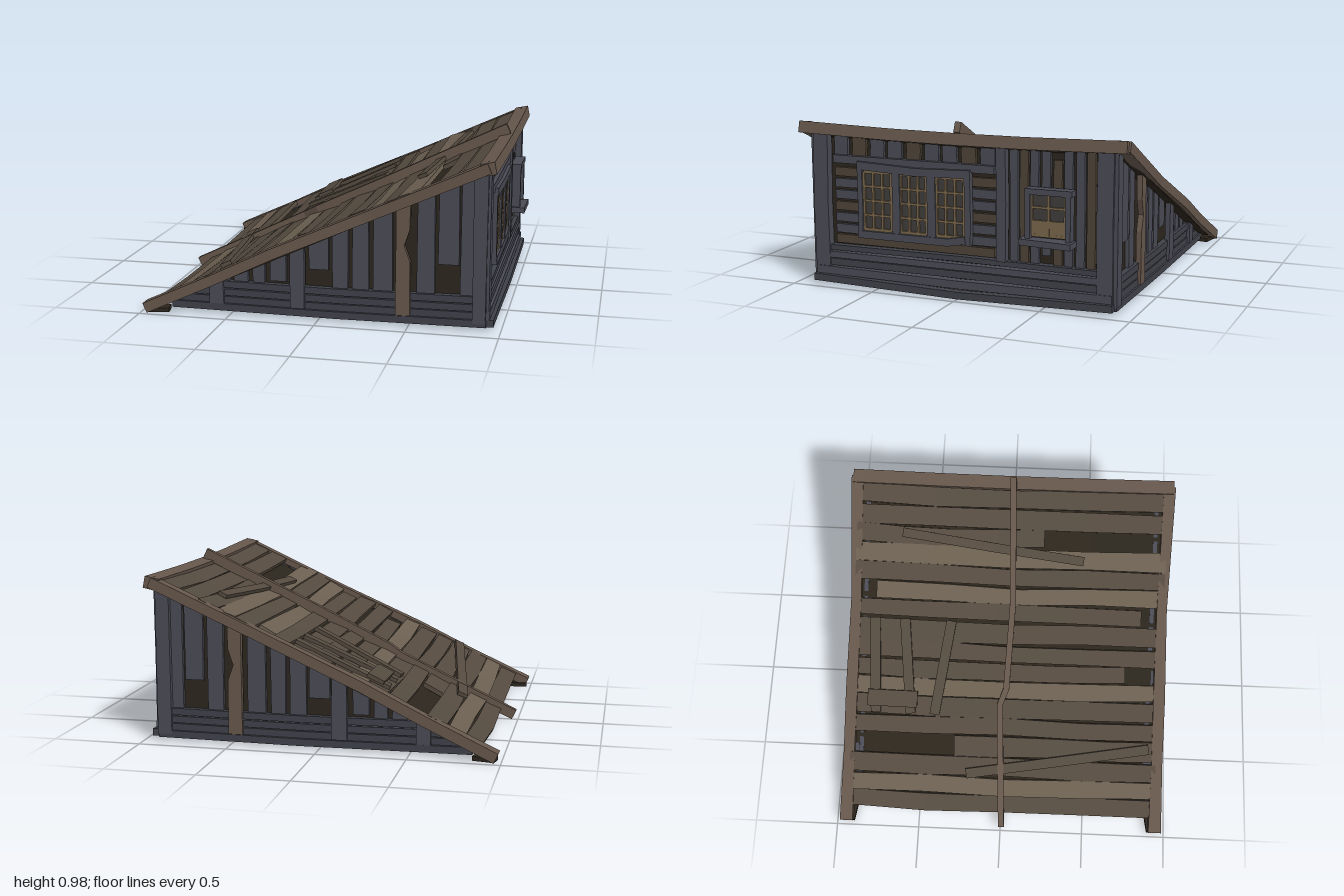
import * as THREE from 'three';

const C = { beam: 0x65564b, roof: 0x544a3f, light: 0x6b5f50, dark: 0x2b251c, floor: 0x63544a, grey: 0x494a54, slate: 0x3f4149, brown: 0x4e4437, sash: 0x77654a, glass: 0x403d3c };
const N = [-0.419, 0.908, 0]; // roof normal
const roofY = (x) => 0.51 + 0.462 * x;
const sag = (z) => -0.022 * (1 - (z / 0.95) ** 2);

let seed = 7;
const rnd = (a, b) => {
  seed = (seed * 16807) % 2147483647;
  return a + (b - a) * (seed / 2147483647);
};

const mats = {};
const mat = (c) => (mats[c] ??= new THREE.MeshStandardMaterial({ color: c, flatShading: true }));

function add(parent, name, geo, color) {
  const m = new THREE.Mesh(geo, mat(color));
  m.name = name;
  parent.add(m);
  return m;
}

// Outline in x and y, extruded and centred on z
function slab(parent, name, color, outline, z, depth) {
  const s = new THREE.Shape(outline.map((a) => new THREE.Vector2(...a)));
  const g = new THREE.ExtrudeGeometry(s, { depth, bevelEnabled: false });
  add(parent, name, g.translate(0, 0, z - depth / 2), color);
}

// Rectangular timber swept along points; width may vary per point, n is the face normal
function timber(parent, name, color, points, n, width, thick) {
  const p = points.map((a) => new THREE.Vector3(...a));
  const rings = p.map((c, i) => {
    const t = p[Math.min(i + 1, p.length - 1)].clone().sub(p[Math.max(i - 1, 0)]).normalize();
    const up = new THREE.Vector3(...n);
    up.addScaledVector(t, -up.dot(t)).normalize();
    const s = t.clone().cross(up);
    const w = (Array.isArray(width) ? width[i] : width) / 2;
    return [[1, 1], [-1, 1], [-1, -1], [1, -1]].map(([a, b]) =>
      c.clone().addScaledVector(s, a * w).addScaledVector(up, (b * thick) / 2));
  });
  const pos = [];
  const quad = (a, b, c, d) => [a, b, c, a, c, d].forEach((v) => pos.push(v.x, v.y, v.z));
  for (let i = 0; i < rings.length - 1; i++)
    for (let k = 0; k < 4; k++) {
      const j = (k + 1) % 4;
      quad(rings[i][k], rings[i + 1][k], rings[i + 1][j], rings[i][j]);
    }
  const e = rings[rings.length - 1];
  quad(...rings[0]);
  quad(e[3], e[2], e[1], e[0]);
  const g = new THREE.BufferGeometry();
  g.setAttribute('position', new THREE.Float32BufferAttribute(pos, 3));
  g.computeVertexNormals();
  return add(parent, name, g, color);
}

function group(parent, name) {
  const g = new THREE.Group();
  g.name = name;
  parent.add(g);
  return g;
}

function buildCore(root) {
  // Dark body seen through the gaps between planks
  slab(root, 'darkInterior', C.dark, [[-0.83, 0.035], [0.88, 0.035], [0.88, 0.84], [-0.83, 0.05]], 0, 1.71);
  add(root, 'floor', new THREE.BoxGeometry(1.64, 0.01, 1.66), C.floor).position.set(0.04, 0.031, 0);
}

function buildRoof(root) {
  const roof = group(root, 'roof');
  const at = (x, z, lift) => [x + N[0] * lift, roofY(x) + sag(z) + N[1] * lift, z];
  // Dark sheet under the planks
  timber(roof, 'underRoof', C.dark, [-0.93, -0.5, 0, 0.5, 0.93].map((z) => at(0, z, -0.05)), N, 1.97, 0.02);
  // Plank edges across the slope, with shortened planks leaving holes
  const edges = [-0.91, -0.81, -0.71, -0.6, -0.48, -0.38, -0.27, -0.17, -0.07, 0.03, 0.15, 0.25, 0.35, 0.45, 0.56, 0.66, 0.77, 0.88];
  const spans = { 3: [-0.3, 0.93], 7: [-0.93, 0.72], 10: [-0.93, 0.8], 11: [-0.8, 0.93], 14: [-0.93, 0.2] };
  const lights = [1, 6, 11, 13];
  for (let i = 0; i < edges.length - 1; i++) {
    const [z0, z1] = spans[i] ?? [-0.93, 0.93];
    const x = (edges[i] + edges[i + 1]) / 2, w = (edges[i + 1] - edges[i]) * 1.1;
    const pts = [], widths = [], lift = rnd(-0.022, -0.012);
    for (let k = 0; k <= 4; k++) {
      const z = z0 + ((z1 - z0) * k) / 4;
      pts.push(at(x + rnd(-0.008, 0.008), z, lift));
      widths.push(w * rnd(0.86, 1));
    }
    timber(roof, 'roofPlank', lights.includes(i) ? C.light : C.roof, pts, [N[0] + rnd(-0.1, 0.1), N[1], 0], widths, 0.026);
  }
  // Sloping edge boards at both gables
  const path = [[-0.985, 0.942, 0], [-0.6, 0.936, 0], [-0.26, 0.93, 0.01], [0.25, 0.92, 0], [0.92, 0.935, -0.006]];
  for (const s of [1, -1]) {
    timber(roof, 'gableBoard', C.beam, path.map(([x, z, d]) => [x + 0.01, roofY(x) - 0.028 + d, s * z]), N, [0.078, 0.065, 0.07, 0.06, 0.07], 0.058);
    timber(roof, 'gableFoot', C.dark, [[-0.97, 0.012, s * 0.93], [-0.85, 0.013, s * 0.91]], [0, 1, 0], 0.07, 0.024);
  }
  // Beam along the high edge
  const ridge = [-0.96, -0.9, -0.4, 0, 0.4, 0.9, 0.96];
  timber(roof, 'ridgeBeam', C.beam, ridge.map((z) => [0.922, 0.894 + sag(z) * 0.7, z]), [-0.2, 1, 0], 0.08, 0.066);
  // Crooked beam down the middle of the roof
  const middle = [[-0.98, 0.005, -0.006], [-0.3, -0.03, 0.004], [-0.21, 0.005, 0.012], [0.25, 0.025, 0.018], [0.94, 0, 0.028]];
  timber(roof, 'middleBeam', C.beam, middle.map((a) => at(...a)), N, 0.036, 0.06);
  // Loose patch boards: x0, z0, x1, z1, width, lift
  const patches = [
    [-0.69, -0.22, -0.52, 0.88, 0.06, 0.015], [0.62, -0.65, 0.5, 0.44, 0.055, 0.012],
    [-0.37, -0.78, 0.15, -0.8, 0.06, 0.01], [-0.37, -0.57, 0.15, -0.62, 0.06, 0.01],
    [-0.37, -0.425, 0.15, -0.34, 0.06, 0.01], [-0.29, -0.83, -0.29, -0.53, 0.1, 0.024],
  ];
  for (const [a, b, c, d, w, l] of patches)
    timber(roof, 'patchBoard', C.roof, [at(a, b, l), at((a + c) / 2, (b + d) / 2, l), at(c, d, l)], N, w, 0.022);
}

function buildGable(root, s) {
  const wall = group(root, s > 0 ? 'frontWall' : 'backWall');
  const n = [0, 0, s];
  // Upright board whose top follows the slope
  const upright = (name, x0, x1, y0, z, thick) => {
    const j = rnd(0, 0.008);
    slab(wall, name, C.grey, [[x0 + j, y0], [x1 - j, y0], [x1 - 0.004, roofY(x1) - 0.045], [x0 + 0.004, roofY(x0) - 0.045]], s * z, thick);
  };
  // Upright planks: left edge, right edge, bottom
  const planks = [
    [-0.6, -0.5, 0.15], [-0.485, -0.4, 0.17], [-0.38, -0.3, 0.17], [-0.28, -0.18, 0.2], [-0.06, 0.06, 0.28], [0.07, 0.17, 0.17],
    [0.185, 0.28, 0.17], [0.3, 0.41, 0.17], [0.54, 0.64, 0.17], [0.655, 0.77, 0.35], [0.775, 0.85, 0.17],
  ];
  for (const [a, b, y] of planks) upright('wallPlank', a, b, y, 0.865, 0.024);
  upright('post', -0.62, -0.535, 0.06, 0.893, 0.03);
  upright('post', -0.16, -0.07, 0.06, 0.893, 0.03);
  upright('cornerPost', 0.84, 0.925, 0.04, 0.88, 0.05);
  // Brown post worn to a notch
  const worn = [[0.47, 0.06], [0.47, 0.36], [0.455, 0.45], [0.47, 0.54], [0.47, 0.68]];
  timber(wall, 'wornPost', C.beam, worn.map(([x, y]) => [x, y, s * 0.893]), n, [0.08, 0.078, 0.045, 0.075, 0.08], 0.03);
  // Base rails cut off by the slope
  for (const [y0, y1, z] of [[0.02, 0.06, 0.885], [0.062, 0.1, 0.875], [0.104, 0.142, 0.872], [0.15, 0.188, 0.878]]) {
    const x0 = Math.max(-0.84, (y1 - 0.475) / 0.462), y = (y0 + y1) / 2;
    timber(wall, 'baseRail', C.slate, [[x0, y, s * z], [0.1, y - 0.006, s * z], [0.92, y, s * z]], n, y1 - y0, 0.035);
  }
}

// Window sash facing +x with a grid of bars
function sash(parent, z0, z1, y0, y1, x, cols, rows) {
  const g = group(parent, 'windowSash'), w = z1 - z0, h = y1 - y0;
  add(g, 'glass', new THREE.BoxGeometry(0.012, h, w), C.glass).position.set(x - 0.01, (y0 + y1) / 2, (z0 + z1) / 2);
  for (let i = 0; i <= cols; i++) {
    const t = i % cols ? 0.013 : 0.016;
    add(g, 'windowBar', new THREE.BoxGeometry(0.014, h, t), C.sash).position.set(x, (y0 + y1) / 2, z0 + (w * i) / cols);
  }
  for (let i = 0; i <= rows; i++) {
    const t = i % rows ? 0.013 : 0.016;
    add(g, 'windowBar', new THREE.BoxGeometry(0.013, t, w), C.sash).position.set(x, y0 + (h * i) / rows, (z0 + z1) / 2);
  }
}

function buildTallWall(root) {
  const wall = group(root, 'tallWall'), X = [1, 0, 0];
  const row = (name, c, z0, z1, y, w, x, t, bow = 0) =>
    timber(wall, name, c, [[x, y, z0], [x, y + bow, (z0 + z1) / 2], [x, y, z1]], X, w, t);
  const up = (name, c, y0, y1, z, w, x, t) =>
    timber(wall, name, c, [[x, y0, z], [x, (y0 + y1) / 2, z + rnd(-0.006, 0.006)], [x, y1, z]], X, w, t);
  // Base rails, bowed down in the middle
  row('baseRail', C.slate, -0.89, 0.89, 0.042, 0.04, 0.935, 0.05, -0.02);
  row('baseRail', C.grey, -0.88, 0.88, 0.085, 0.045, 0.915, 0.05, -0.008);
  row('baseRail', C.slate, -0.8, 0.8, 0.132, 0.04, 0.905, 0.045);
  row('baseRail', C.grey, -0.8, 0.8, 0.175, 0.036, 0.91, 0.045);
  row('baseRail', C.slate, -0.8, 0.8, 0.215, 0.03, 0.903, 0.045, 0.006);
  // Posts
  for (const z of [-0.84, 0.84]) up('cornerPost', C.grey, 0.06, 0.87, z, 0.09, 0.91, 0.05);
  up('post', C.grey, 0.23, 0.87, -0.25, 0.055, 0.91, 0.045);
  // Horizontal slats around the wide window
  [0.265, 0.325, 0.39, 0.455, 0.52, 0.585, 0.65].forEach((y, i) =>
    row('slat', i % 3 ? C.grey : C.brown, -0.22 + rnd(0, 0.02), 0.77, y, 0.05, 0.888, 0.024, rnd(-0.005, 0.005)));
  row('crossBeam', C.grey, -0.21, 0.77, 0.725, 0.045, 0.905, 0.035);
  // Short slats under the roof
  for (let i = 0; i < 9; i++) up('shortSlat', i % 3 === 1 ? C.brown : C.grey, 0.74, 0.87, 0.73 - i * 0.112, 0.085, 0.888, 0.024);
  // Upright slats around the small window
  [-0.315, -0.375, -0.435, -0.5, -0.565, -0.625, -0.69, -0.75].forEach((z, i) =>
    up('uprightSlat', i % 3 === 1 ? C.brown : C.grey, i === 3 ? 0.28 : 0.23, i === 4 ? 0.8 : 0.87, z, 0.048, 0.888, 0.024));

  // Wide window of three sashes
  const wide = group(wall, 'wideWindow');
  add(wide, 'windowBacking', new THREE.BoxGeometry(0.03, 0.38, 0.66), C.slate).position.set(0.9, 0.505, 0.27);
  for (const [z, w] of [[0.597, 0.03], [0.374, 0.045], [0.16, 0.05], [-0.056, 0.035]])
    timber(wide, 'windowFrame', C.grey, [[0.92, 0.3, z], [0.92, 0.42, z - 0.004], [0.92, 0.7, z]], X, w, 0.035);
  timber(wide, 'windowFrame', C.grey, [[0.923, 0.695, -0.075], [0.923, 0.685, 0.25], [0.923, 0.7, 0.61]], X, 0.045, 0.038);
  timber(wide, 'windowFrame', C.grey, [[0.923, 0.33, -0.045], [0.923, 0.31, 0.06], [0.923, 0.31, 0.61]], X, 0.042, 0.038);
  for (const [a, b] of [[0.405, 0.575], [0.19, 0.35], [-0.035, 0.13]]) sash(wide, a, b, 0.34, 0.665, 0.922, 3, 4);

  // Small window with a projecting sill
  const small = group(wall, 'smallWindow');
  add(small, 'windowBacking', new THREE.BoxGeometry(0.05, 0.26, 0.22), C.slate).position.set(0.91, 0.515, -0.525);
  for (const z of [-0.418, -0.645]) timber(small, 'windowFrame', C.grey, [[0.94, 0.38, z], [0.94, 0.64, z]], X, 0.03, 0.06);
  timber(small, 'windowFrame', C.grey, [[0.942, 0.637, -0.67], [0.942, 0.637, -0.405]], X, 0.032, 0.062);
  timber(small, 'windowSill', C.grey, [[0.95, 0.36, -0.67], [0.95, 0.368, -0.38]], X, 0.034, 0.1);
  sash(small, -0.625, -0.435, 0.4, 0.625, 0.945, 2, 3);
  add(small, 'lowerPanel', new THREE.BoxGeometry(0.012, 0.065, 0.18), C.sash).position.set(0.945, 0.437, -0.53);
}

export function createModel() {
  seed = 7;
  const root = new THREE.Group();
  root.name = 'leanToShed';
  buildCore(root);
  buildRoof(root);
  for (const s of [1, -1]) buildGable(root, s);
  buildTallWall(root);
  // Rail closing the low side under the eave
  timber(root, 'lowRail', C.slate, [[-0.82, 0.045, -0.88], [-0.82, 0.035, 0], [-0.82, 0.045, 0.88]], [0, 1, 0], 0.05, 0.035);
  return root;
}
